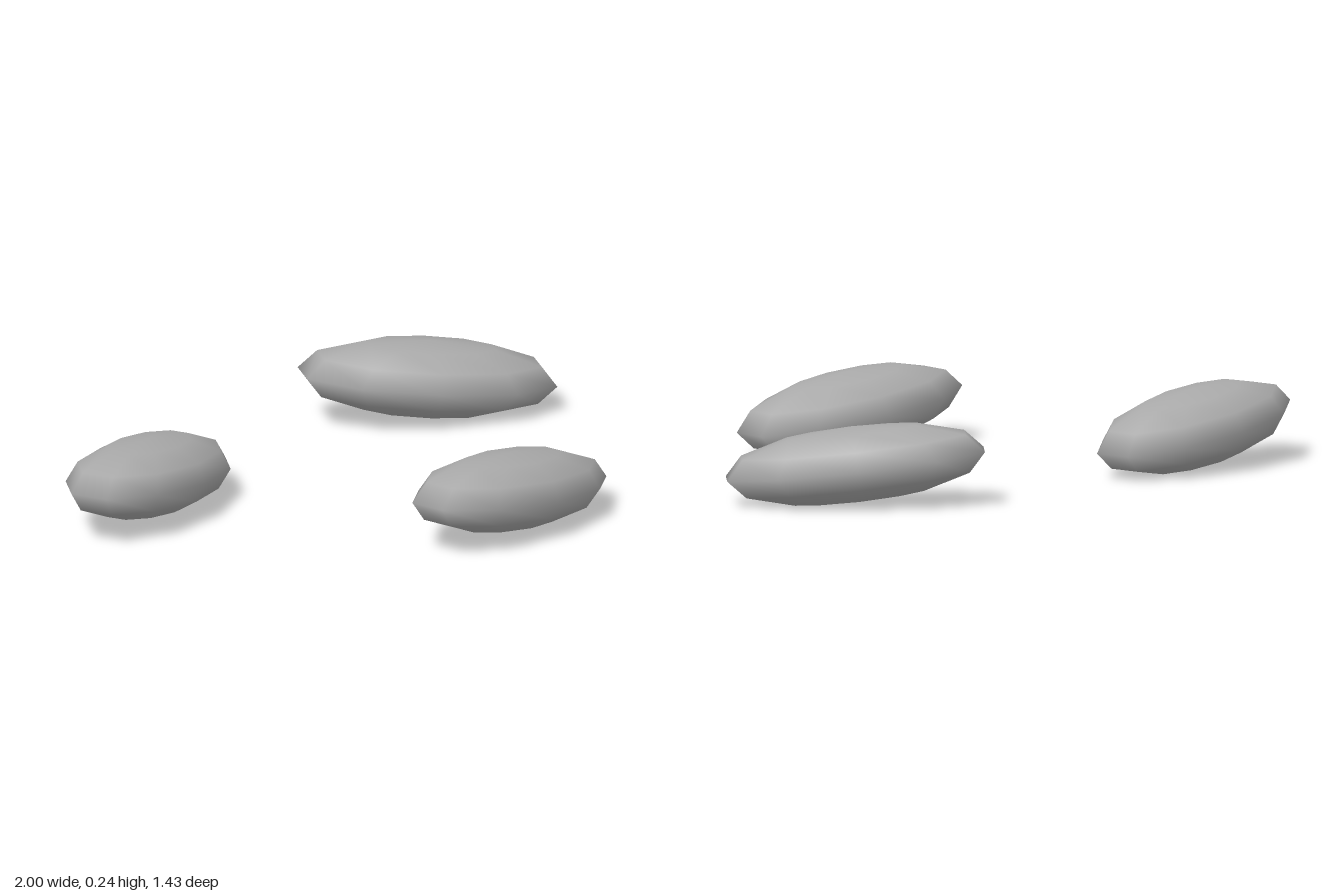
import * as THREE from 'three';

export function createModel() {
  const group = new THREE.Group();
  group.name = 'pebbles';
  const stoneGrey = new THREE.MeshStandardMaterial({ color: 0xaaaaaa });
  stoneGrey.name = 'stoneGrey';

  // One flattened, elongated pebble, long along x
  const pebble = new THREE.SphereGeometry(1, 10, 6);
  pebble.rotateY(Math.PI / 2);
  pebble.scale(0.407, 0.115, 0.191);

  // x, z and yaw of each pebble; all dip slightly towards +x
  const stones = [
    ['frontPebble', 0.117, 0.515, 0.19],
    ['rightPebble', -0.622, -0.282, 0.4],
    ['leftPebble', 0.625, -0.477, -0.45],
  ];
  for (const [name, x, z, yaw] of stones) {
    const mesh = new THREE.Mesh(pebble, stoneGrey);
    mesh.name = name;
    mesh.position.set(x, 0.12, z);
    mesh.rotation.set(0, yaw, -0.11);
    group.add(mesh);
  }
  return group;
}
